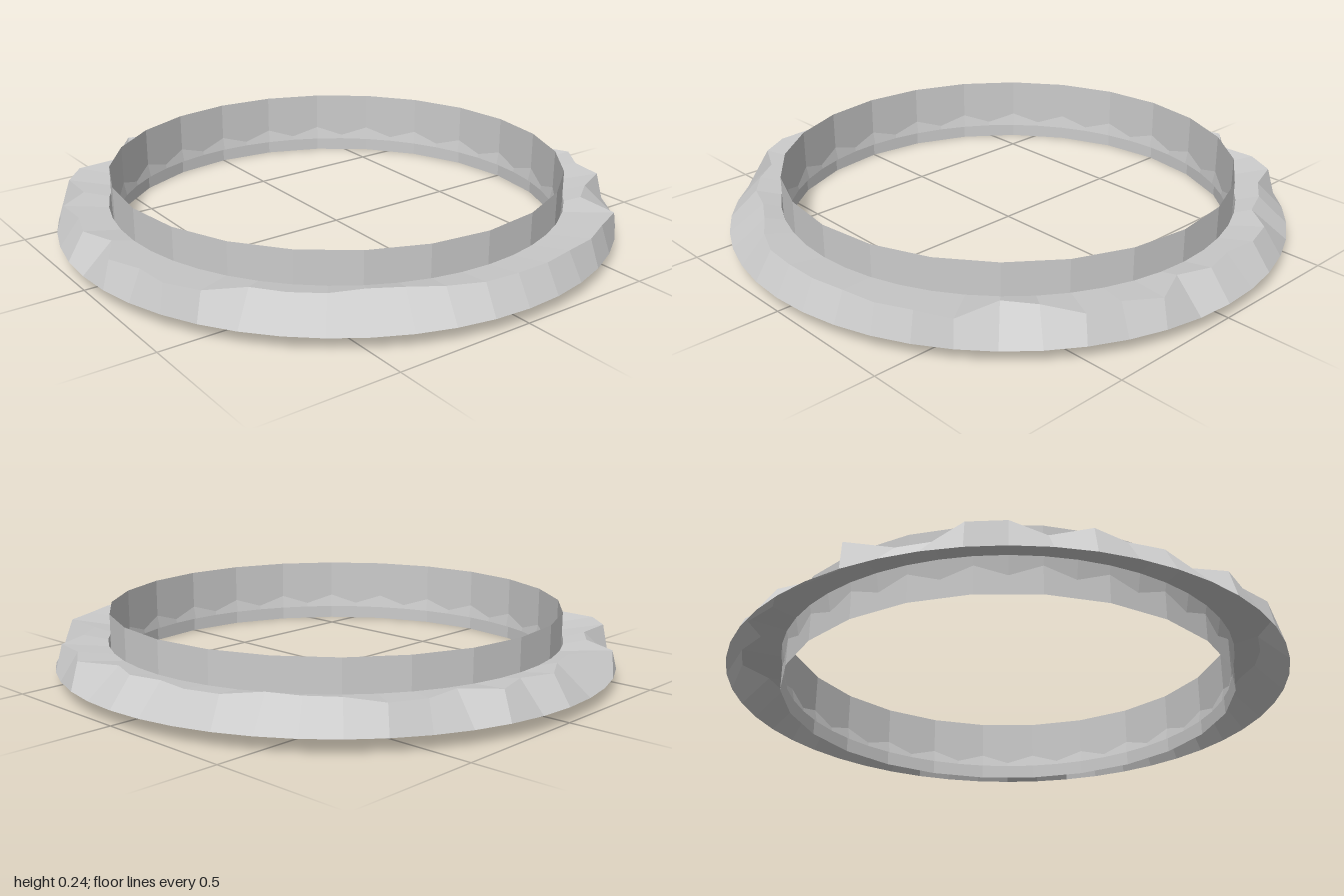
import * as THREE from 'three';

// Radius of the chipped upper rim, clockwise from the back, every 7.5 degrees
const RIM = [
  0.92, 0.885, 0.974, 0.938, 0.975, 0.90, 0.873, 0.99,
  0.968, 0.968, 0.95, 0.95, 0.943, 0.94, 0.915, 0.885,
  0.877, 0.904, 0.908, 0.90, 0.97, 0.98, 0.948, 0.972,
  0.893, 0.944, 0.93, 0.971, 0.905, 0.98, 0.98, 0.89,
  0.895, 0.992, 0.87, 0.88, 0.936, 0.90, 0.96, 0.89,
  0.956, 0.972, 0.904, 0.896, 0.875, 0.937, 0.935, 0.90,
];

// Outer wall, top sloping inward and inner wall, open underneath
function corners(i) {
  const a = (i / RIM.length) * Math.PI * 2;
  const section = [[1, 0.05], [RIM[i % RIM.length], 0.147], [0.816, 0.128], [0.80, 0.05]];
  return section.map(([r, y]) => new THREE.Vector3(r * Math.sin(a), y, -r * Math.cos(a)));
}

// Sweep the section around the circle, one even facet per quad
function flangeGeometry() {
  const positions = [], normals = [];
  for (let i = 0; i < RIM.length; i++) {
    const here = corners(i), next = corners(i + 1);
    for (let k = 0; k < 3; k++) {
      const [p, q, s, t] = [here[k], here[k + 1], next[k + 1], next[k]];
      const normal = s.clone().sub(p).cross(t.clone().sub(q)).normalize();
      for (const v of [p, q, s, p, s, t]) {
        positions.push(...v.toArray());
        normals.push(...normal.toArray());
      }
    }
  }
  const g = new THREE.BufferGeometry();
  g.setAttribute('position', new THREE.Float32BufferAttribute(positions, 3));
  g.setAttribute('normal', new THREE.Float32BufferAttribute(normals, 3));
  return g;
}

export function createModel() {
  const group = new THREE.Group();
  group.name = 'ring';

  // Thin upright band, open at both ends
  const band = new THREE.Mesh(
    new THREE.CylinderGeometry(0.81, 0.81, 0.24, 24, 1, true),
    new THREE.MeshStandardMaterial({ color: 0xcccccc, flatShading: true, side: THREE.DoubleSide }),
  );
  band.name = 'band';
  band.position.y = 0.12;

  // Chipped flange around the band
  const flange = new THREE.Mesh(
    flangeGeometry(),
    new THREE.MeshStandardMaterial({ color: 0xcccccc, side: THREE.DoubleSide }),
  );
  flange.name = 'flange';

  group.add(band, flange);
  return group;
}
